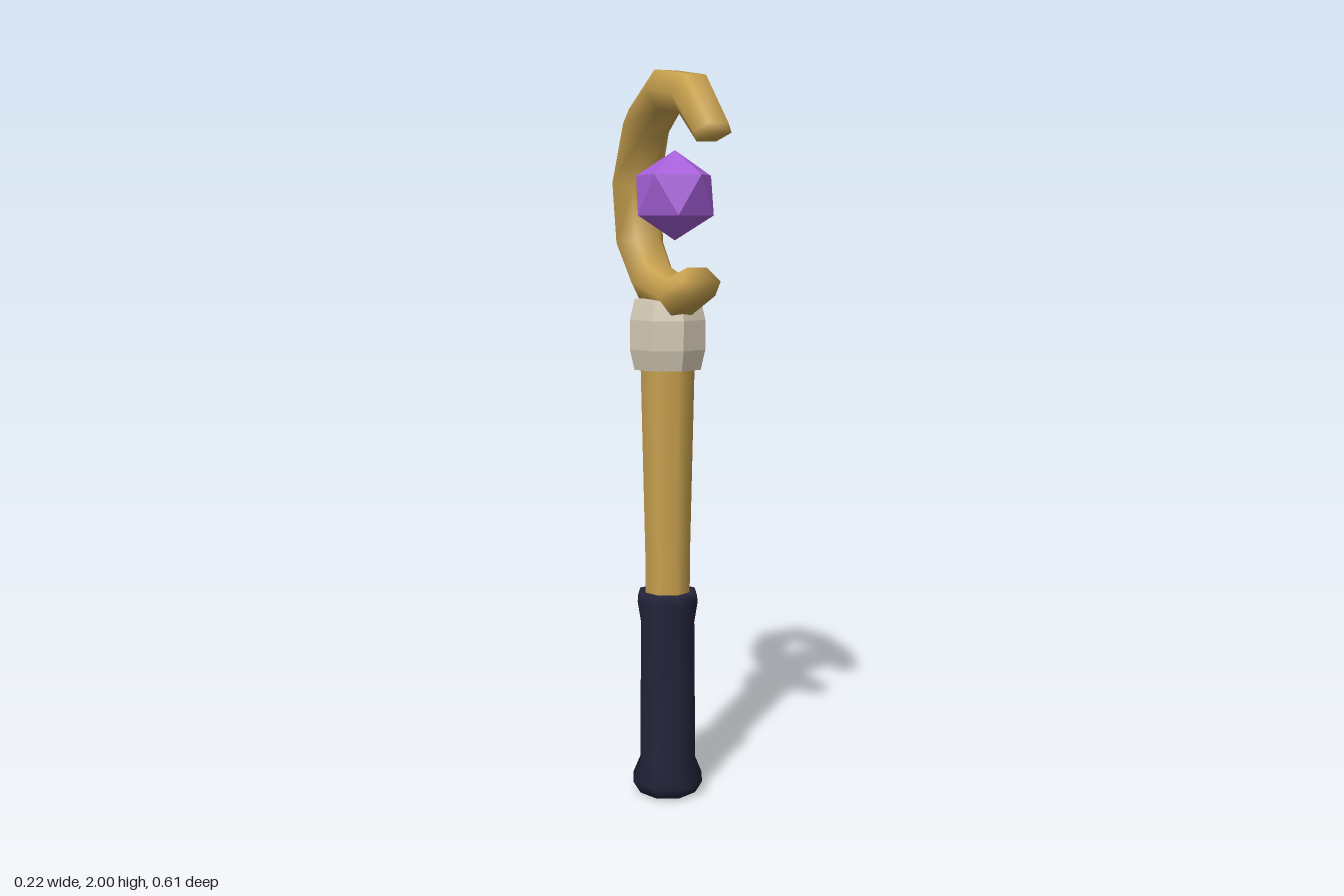
import * as THREE from 'three';

const AXIS_Z = -0.02; // the shaft sits slightly behind the centre

const gold = new THREE.MeshStandardMaterial({ name: 'gold', color: 0xc9a24f });
const navy = new THREE.MeshStandardMaterial({ name: 'navy', color: 0x24233a });
const bone = new THREE.MeshStandardMaterial({ name: 'bone', color: 0xd3c8b4, flatShading: true });
const violet = new THREE.MeshStandardMaterial({ name: 'violet', color: 0xa55fd8, flatShading: true });

// Eight-sided turned part from [radius, height] pairs
function turned(name, profile, material) {
  let geometry = new THREE.LatheGeometry(profile.map(([r, y]) => new THREE.Vector2(r, y)), 8);
  if (material.flatShading) {
    geometry = geometry.toNonIndexed();
    geometry.computeVertexNormals();
  }
  const mesh = new THREE.Mesh(geometry, material);
  mesh.name = name;
  mesh.position.z = AXIS_Z;
  return mesh;
}

// Curved head: hexagonal sections between outer and inner [z, y] edges
function hookGeometry() {
  const outer = [[0.303, 1.842], [0.16, 1.972], [-0.03, 2], [-0.21, 1.91], [-0.303, 1.725],
    [-0.275, 1.53], [-0.145, 1.392], [0.075, 1.355], [0.228, 1.413]];
  const inner = [[0.228, 1.8], [0.122, 1.878], [-0.005, 1.894], [-0.12, 1.825], [-0.18, 1.693],
    [-0.16, 1.556], [-0.085, 1.481], [0.037, 1.45], [0.175, 1.484]];
  const radius = [0.053, 0.06, 0.066, 0.07, 0.073, 0.071, 0.067, 0.06, 0.055];
  const sides = 6, last = outer.length - 1;
  const position = [], index = [];
  outer.forEach(([oz, oy], i) => {
    const [iz, iy] = inner[i];
    for (let j = 0; j < sides; j++) {
      const a = (j / sides) * Math.PI * 2;
      const s = Math.sin(a) / Math.sin(Math.PI / 3) / 2;
      position.push(radius[i] * Math.cos(a), (oy + iy) / 2 + (oy - iy) * s, (oz + iz) / 2 + (oz - iz) * s);
    }
  });
  for (let i = 0; i < last; i++) {
    for (let j = 0; j < sides; j++) {
      const a = i * sides + j, b = i * sides + (j + 1) % sides;
      index.push(a, a + sides, b, b, a + sides, b + sides);
    }
  }
  // Tip caps
  const end = last * sides;
  for (let j = 1; j < sides - 1; j++) {
    index.push(0, j, j + 1, end, end + j + 1, end + j);
  }
  const geometry = new THREE.BufferGeometry();
  geometry.setAttribute('position', new THREE.Float32BufferAttribute(position, 3));
  geometry.setIndex(index);
  geometry.computeVertexNormals();
  return geometry;
}

export function createModel() {
  const staff = new THREE.Group();
  staff.name = 'staff';

  // Handle, shaft and collar
  staff.add(
    turned('grip', [[0, 0], [0.083, 0.004], [0.105, 0.04], [0.084, 0.09], [0.08, 0.5],
      [0.09, 0.56], [0.083, 0.583], [0, 0.585]], navy),
    turned('shaft', [[0.066, 0.55], [0.067, 0.7], [0.08, 1.25]], gold),
    turned('collar', [[0, 1.205], [0.097, 1.205], [0.11, 1.26], [0.11, 1.34], [0.097, 1.393], [0, 1.393]], bone)
  );

  // Open hook curling around the gem
  const hook = new THREE.Mesh(hookGeometry(), gold);
  hook.name = 'hook';
  staff.add(hook);

  // Floating gem, one corner pointing straight up
  const gemGeometry = new THREE.IcosahedronGeometry(0.118, 0);
  gemGeometry.rotateZ(-Math.atan(2 / (1 + Math.sqrt(5))));
  const gem = new THREE.Mesh(gemGeometry, violet);
  gem.name = 'gem';
  gem.position.set(0, 1.67, 0.03);
  staff.add(gem);

  return staff;
}
